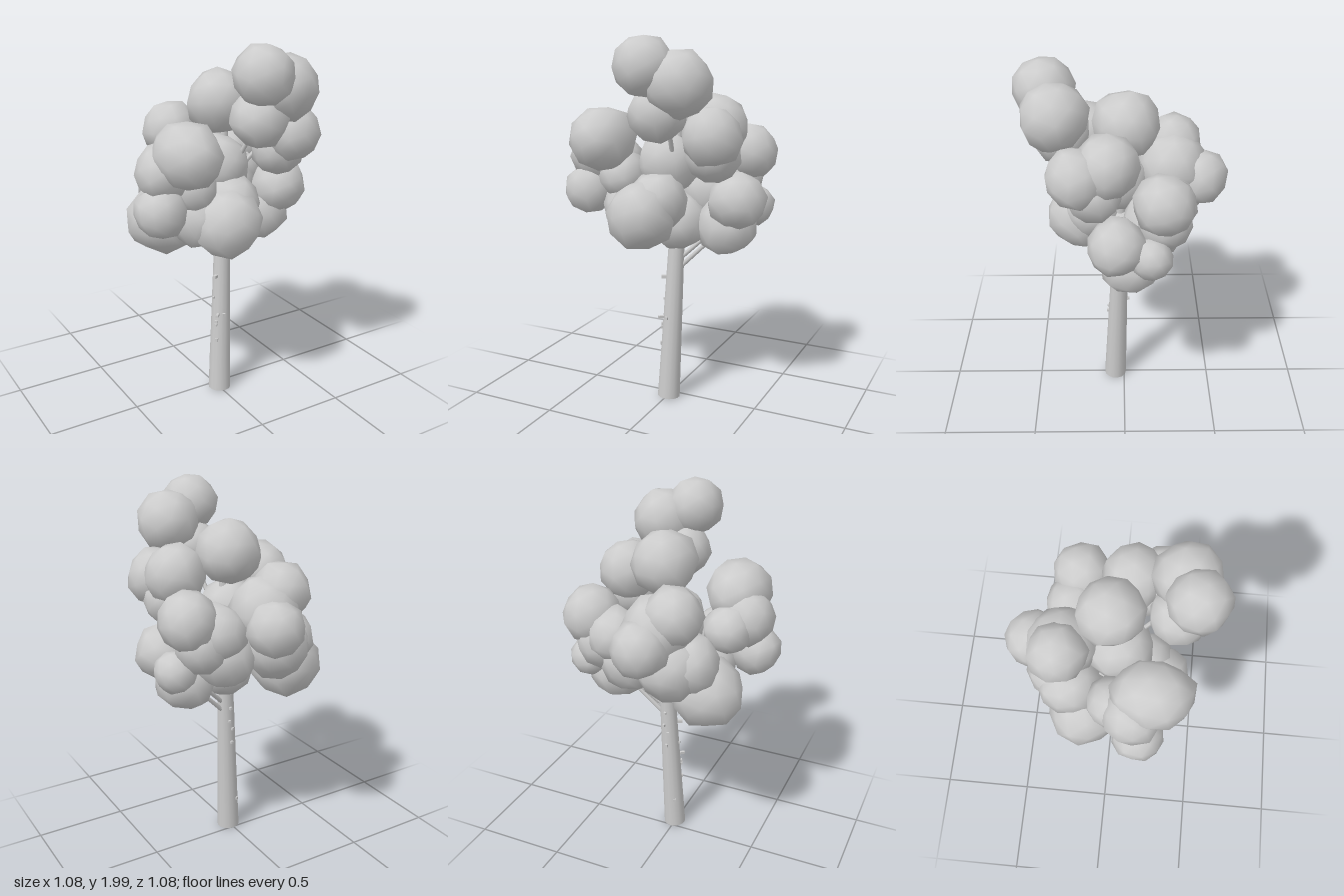
import * as THREE from 'three';
import { mergeVertices } from 'three/addons/utils/BufferGeometryUtils.js';

const grey = new THREE.MeshStandardMaterial({ color: 0xcccccc });
grey.name = 'plain grey';

function seeded(seed) {
  return () => {
    seed = (seed * 16807) % 2147483647;
    return seed / 2147483647;
  };
}

// Lumpy low-poly ball with smooth normals
function leafClump(radius, random) {
  let geo = new THREE.IcosahedronGeometry(1, 1);
  geo.deleteAttribute('normal');
  geo.deleteAttribute('uv');
  geo = mergeVertices(geo, 1e-3);
  const pos = geo.attributes.position;
  const v = new THREE.Vector3();
  for (let i = 0; i < pos.count; i++) {
    v.fromBufferAttribute(pos, i).multiplyScalar(radius * (0.96 + 0.12 * random()));
    pos.setXYZ(i, v.x, v.y, v.z);
  }
  geo.rotateX(random() * 6).rotateY(random() * 6).rotateZ(random() * 6);
  geo.computeVertexNormals();
  return geo;
}

// Tapered rod between two points
function rod(name, a, b, r0, r1, sides) {
  const from = new THREE.Vector3(...a), to = new THREE.Vector3(...b);
  const dir = to.clone().sub(from);
  const mesh = new THREE.Mesh(new THREE.CylinderGeometry(r1, r0, dir.length(), sides), grey);
  mesh.position.copy(from).add(to).multiplyScalar(0.5);
  mesh.quaternion.setFromUnitVectors(new THREE.Vector3(0, 1, 0), dir.normalize());
  mesh.name = name;
  return mesh;
}

export function createModel() {
  const tree = new THREE.Group();
  tree.name = 'tree';
  const random = seeded(4711);

  // Leaning trunk and its continuation inside the crown
  tree.add(rod('trunk', [0.005, 0.003, 0.052], [0.038, 0.88, 0.022], 0.063, 0.044, 14));
  tree.add(rod('upperTrunk', [0.038, 0.87, 0.022], [0.05, 1.6, 0.02], 0.042, 0.02, 10));

  // Limbs reaching into the clumps
  const limbs = [
    [[0.05, 0.75, 0.02], [0.3, 1.0, -0.03]],
    [[0.05, 0.8, 0.02], [0.28, 1.02, -0.06]],
    [[0.04, 1.2, 0.02], [0.3, 1.5, 0.12]],
    [[0.04, 1.15, 0.02], [-0.28, 1.42, 0.2]],
    [[0.04, 1.2, 0.02], [0.12, 1.72, 0.34]],
    [[0.04, 1.1, 0.02], [0.34, 1.36, -0.18]],
    [[0.04, 1.1, 0.02], [-0.02, 1.34, -0.36]],
  ];
  for (const [a, b] of limbs) tree.add(rod('branch', a, b, 0.014, 0.01, 6));

  // Short broken twigs on the trunk: height, angle, length, thickness
  const twigs = [
    [0.7, 2.7, 0.026, 0.016], [0.57, 3.0, 0.008, 0.012],
    [0.475, 2.4, 0.03, 0.014], [0.43, 2.6, 0.008, 0.016],
    [0.41, 2.6, 0.008, 0.014], [0.32, 2.5, 0.006, 0.018],
    [0.78, -1.6, 0.012, 0.014], [0.7, -1.4, 0.012, 0.014],
    [0.65, -1.8, 0.01, 0.014], [0.57, -1.6, 0.012, 0.014],
    [0.475, 1.8, 0.01, 0.016], [0.19, -2.1, 0.006, 0.016],
  ];
  for (const [y, angle, length, t] of twigs) {
    const k = y / 0.88, d = 0.053 - 0.019 * k + length / 2;
    const twig = new THREE.Mesh(new THREE.BoxGeometry(length + 0.02, t, t), grey);
    twig.position.set(0.005 + 0.033 * k + Math.cos(angle) * d, y,
      0.052 - 0.03 * k + Math.sin(angle) * d);
    twig.rotation.y = -angle;
    twig.name = 'twig';
    tree.add(twig);
  }

  // Crown: x, y, z, radius and optional depth stretch of every clump
  const clumps = [
    [0.04, 1.845, 0.385, 0.15], [0.195, 1.765, 0.335, 0.165], [0.07, 1.62, 0.31, 0.145],
    [0.04, 1.655, -0.01, 0.17], [0.33, 1.51, 0.235, 0.15], [0.29, 1.55, 0.085, 0.16],
    [0.3, 1.41, 0.15, 0.14],
    [-0.285, 1.465, 0.225, 0.167, 1.24], [-0.365, 1.37, 0.13, 0.15], [-0.41, 1.18, 0.17, 0.135],
    [-0.3, 1.33, 0.03, 0.13], [-0.22, 1.27, 0.14, 0.13],
    [0, 1.33, 0.04, 0.165], [0.05, 1.015, 0.02, 0.155],
    [-0.065, 1.08, 0.235, 0.18], [0, 1.15, 0.17, 0.155], [-0.16, 1.1, 0.13, 0.16],
    [0.39, 1.16, 0.04, 0.15], [0.42, 1.11, -0.13, 0.11], [0.31, 1.01, -0.03, 0.16],
    [0.37, 1.385, -0.19, 0.15], [0.3, 1.25, -0.2, 0.14], [0.22, 1.31, -0.22, 0.145],
    [0, 1.34, -0.39, 0.145], [-0.12, 1.48, -0.255, 0.15], [-0.03, 1.39, -0.25, 0.18],
    [-0.1, 1.2, -0.24, 0.18], [-0.18, 1.21, -0.2, 0.16], [-0.25, 1.035, -0.12, 0.19],
    [0.16, 1.16, -0.16, 0.17],
  ];
  const crown = new THREE.Group();
  crown.name = 'crown';
  for (const [x, y, z, r, depth = 1] of clumps) {
    const clump = new THREE.Mesh(leafClump(r, random), grey);
    clump.position.set(x, y, z);
    clump.scale.z = depth;
    clump.name = 'leafClump';
    crown.add(clump);
  }
  tree.add(crown);
  return tree;
}
